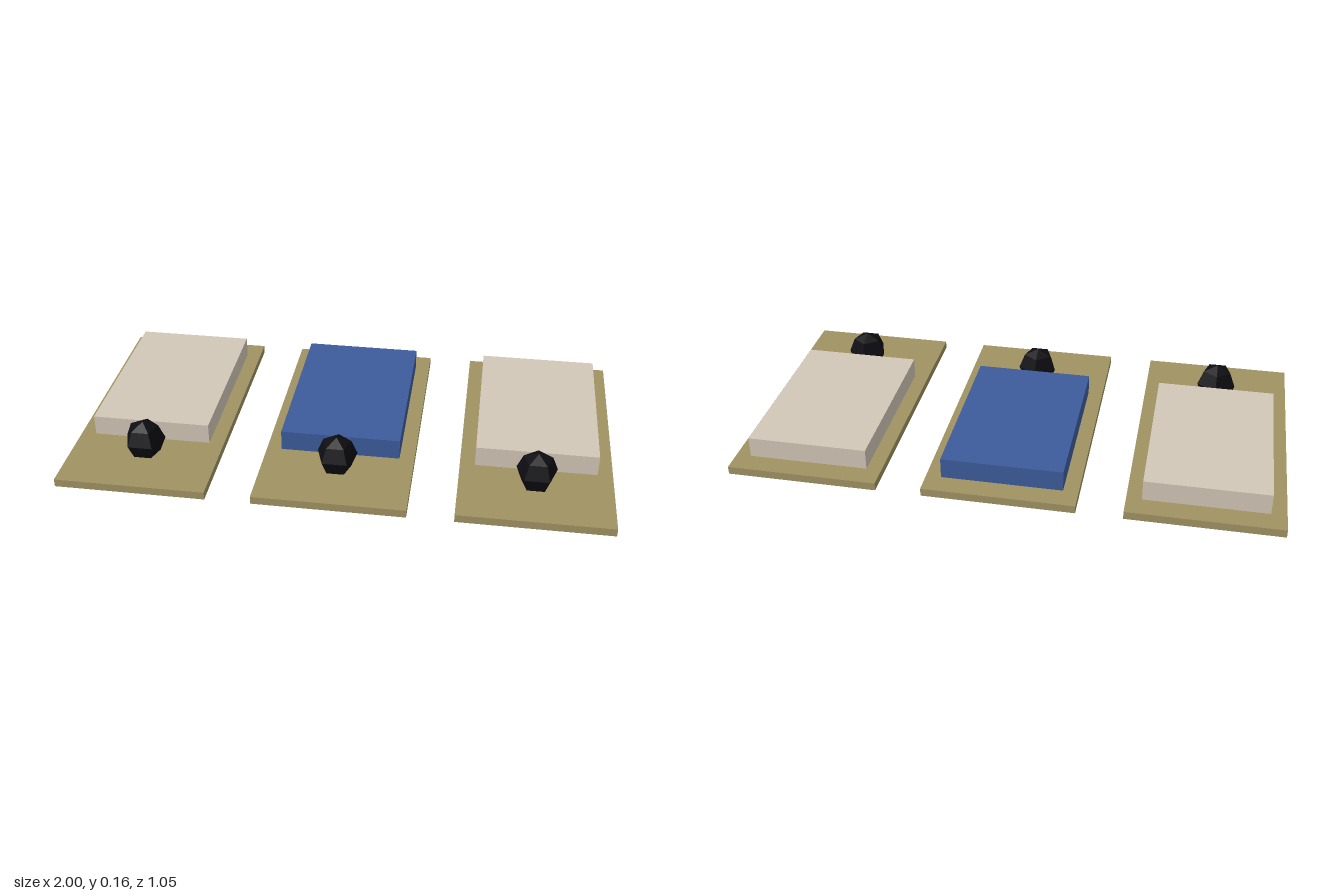
import * as THREE from 'three';

const material = (color) => new THREE.MeshStandardMaterial({ color, flatShading: true });

export function createModel() {
  const model = new THREE.Group();
  const olive = material(0xa09362);
  const beige = material(0xd2c7b7);
  const blue = material(0x3d5c9c);
  const black = material(0x0d0d12);

  // Shared shapes: thin base mat, thick pad, five-sided low-poly ball
  const matShape = new THREE.BoxGeometry(0.555, 0.03, 1.054);
  const padShape = new THREE.BoxGeometry(0.444, 0.078, 0.667);
  const ballShape = new THREE.SphereGeometry(0.077, 5, 4, -Math.PI / 2);

  const add = (parent, name, geometry, mat, y, z) => {
    const mesh = new THREE.Mesh(geometry, mat);
    mesh.name = name;
    mesh.position.set(0, y, z);
    parent.add(mesh);
  };

  // Three identical sets in a row, the middle one with a blue pad
  [['rightSet', -0.7225, beige], ['middleSet', 0, blue], ['leftSet', 0.7225, beige]]
    .forEach(([name, x, padMaterial]) => {
      const set = new THREE.Group();
      set.name = name;
      set.position.x = x;
      add(set, 'baseMat', matShape, olive, 0.015, 0);
      add(set, 'pad', padShape, padMaterial, 0.069, -0.1115);
      add(set, 'ball', ballShape, black, 0.085, 0.307);
      model.add(set);
    });

  return model;
}
